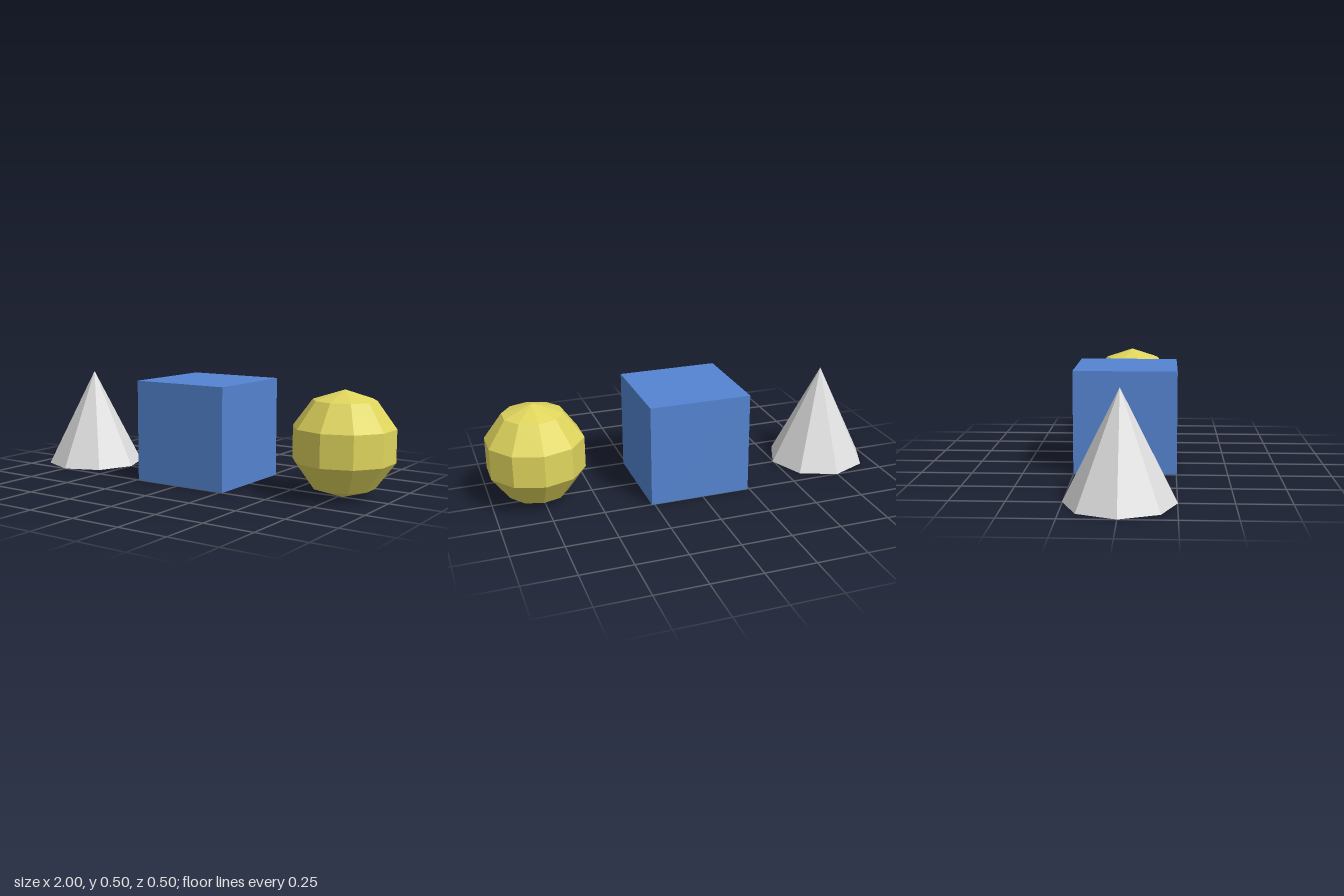
import * as THREE from 'three';

const SIZE = 0.505; // shared height of the three solids
const R = SIZE / 2;

function material(name, color) {
  const m = new THREE.MeshStandardMaterial({ color, flatShading: true });
  m.name = name;
  return m;
}

export function createModel() {
  const group = new THREE.Group();
  group.name = 'primitiveSolids';

  // Every solid rests on the ground along the x axis
  function add(name, geometry, mat, x) {
    const mesh = new THREE.Mesh(geometry, mat);
    mesh.name = name;
    mesh.position.set(x, R, 0);
    group.add(mesh);
  }

  // Eight-sided cone with a closed base
  add('cone', new THREE.ConeGeometry(R, SIZE, 8), material('lightGrey', 0xdedede), -0.7475);

  // Cube
  add('cube', new THREE.BoxGeometry(SIZE, SIZE, SIZE), material('blue', 0x5484d1), 0.012);

  // Ten-sided, five-band sphere with a corner facing the front
  const ball = new THREE.SphereGeometry(R, 10, 5).rotateY(Math.PI / 2);
  add('sphere', ball, material('yellow', 0xdfd55d), 0.7715);

  return group;
}
